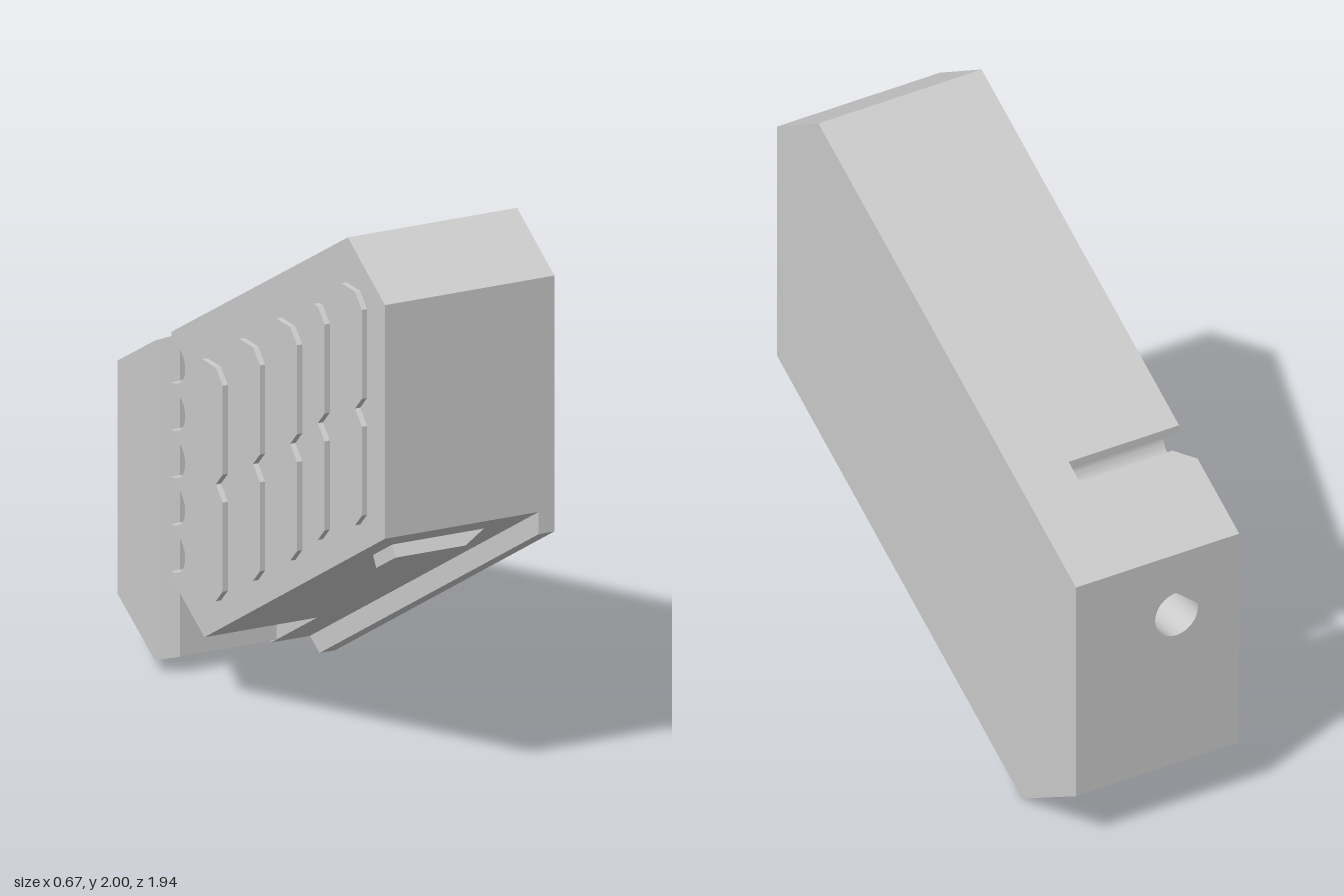
import * as THREE from 'three';
import { toCreasedNormals } from 'three/addons/utils/BufferGeometryUtils.js';

const material = new THREE.MeshStandardMaterial({ color: 0xcccccc });

function addMesh(parent, name, geometry) {
  const mesh = new THREE.Mesh(toCreasedNormals(geometry, 0.5), material);
  mesh.name = name;
  parent.add(mesh);
  return mesh;
}

const polygon = (points) => new THREE.Shape(points.map(([a, b]) => new THREE.Vector2(a, b)));

// Extrudes a (z, y) side profile between two x positions.
function sideExtrude(shape, x0, x1) {
  return new THREE.ExtrudeGeometry(shape, { depth: x1 - x0, bevelEnabled: false, curveSegments: 16 })
    .rotateY(-Math.PI / 2)
    .translate(x1, 0, 0);
}

// Sloping top and underside of the rear slab.
const topAt = (z) => 1.04 + 0.575 * (z + 0.97);
const bottomAt = (z) => Math.max(0.2 - 0.571 * (z + 0.97), 0.08 + 0.578 * (z + 0.62));

export function createModel() {
  const group = new THREE.Group();
  const xLeft = -0.32, xSlot = 0.12, xPlate = 0.27, xRight = 0.33;

  // Full-height side plate, its lower lip standing proud of the underside
  addMesh(group, 'sidePlate', sideExtrude(polygon([
    [-0.97, 0.2], [-0.62, 0], [0.97, 0.92], [0.97, 1.84], [0.7, 2], [-0.97, 1.04],
  ]), xPlate, xRight));

  // Spine that joins the main block to the rear slab
  addMesh(group, 'spine', sideExtrude(polygon([
    [-0.97, 0.2], [-0.69, 0.04], [0.97, 1], [0.97, 1.84], [0.7, 2], [-0.97, 1.04],
  ]), xSlot, xPlate));

  // Main block with five round grooves along the slot wall
  const block = polygon([[-0.34, 0.24], [0.97, 1], [0.97, 1.84], [0.7, 2], [-0.58, 1.264]]);
  for (let i = 0; i < 5; i++) {
    const y = 1.16 - i * 0.17;
    block.lineTo(-0.58, y + 0.077);
    block.absellipse(-0.58, y, 0.1, 0.077, Math.PI / 2, -Math.PI / 2, true);
  }
  block.lineTo(-0.58, 0.38);
  block.closePath();
  addMesh(group, 'mainBlock', sideExtrude(block, xLeft, xSlot));

  // Rear slab: bored plate, sheared to the slopes and chamfered at the slot mouth
  const slab = polygon([[xLeft, 0], [xSlot, 0], [xSlot, 2], [xLeft, 2]]);
  slab.holes.push(new THREE.Path().absarc(-0.07, 0.8, 0.085, 0, Math.PI * 2, true));
  const slabGeometry = new THREE.ExtrudeGeometry(slab, { depth: 1, steps: 2, bevelEnabled: false, curveSegments: 32 });
  const p = slabGeometry.attributes.position;
  for (let i = 0; i < p.count; i++) {
    const layer = Math.round(p.getZ(i) * 2);
    const z = [-0.97, -0.7, -0.65][layer];
    p.setZ(i, z);
    if (p.getY(i) < 0.01) p.setY(i, bottomAt(z));
    else if (p.getY(i) > 1.99) p.setY(i, topAt(z));
    if (layer === 2 && p.getX(i) < xLeft + 0.01) p.setX(i, -0.25);
  }
  addMesh(group, 'rearSlab', slabGeometry);

  // Rib with one slanted end on the sloping underside
  const rib = addMesh(group, 'undersideRib', new THREE.ExtrudeGeometry(
    polygon([[-0.22, -0.005], [0.14, -0.005], [0.05, 0.046], [-0.22, 0.046]]),
    { depth: 0.16, bevelEnabled: false }));
  rib.rotation.x = Math.PI * 5 / 6;
  rib.position.set(0, 0.92, 0.833);

  // Two rows of raised pads on the side face
  const pads = new THREE.Group();
  pads.name = 'raisedPads';
  group.add(pads);
  const spans = [[-0.37, -0.17], [-0.1, 0.1], [0.17, 0.37], [0.44, 0.57], [0.64, 0.84]];
  for (const [z0, z1] of spans) {
    for (const drop of [0, 0.42]) {
      const y = 1.04 + 0.58 * ((z0 + z1) / 2 + 0.27) - drop;
      const h = 0.21, c = 0.05;
      addMesh(pads, 'raisedPad', sideExtrude(polygon([
        [z0 + c, y - h], [z1 - c, y - h], [z1, y - h + c], [z1, y + h - c],
        [z1 - c, y + h], [z0 + c, y + h], [z0, y + h - c], [z0, y - h + c],
      ]), -0.34, xLeft + 0.005));
    }
  }
  return group;
}
